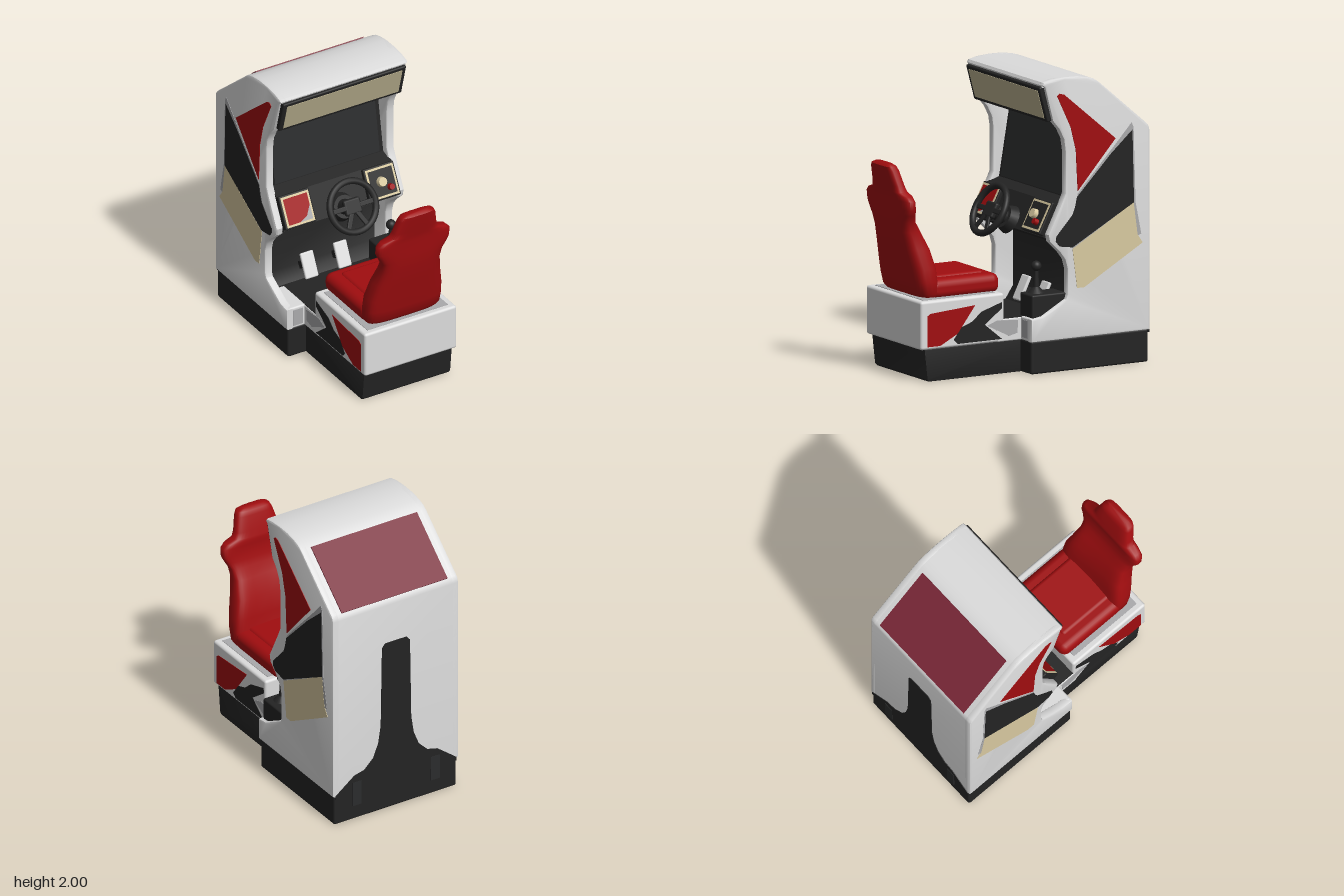
import * as THREE from 'three';
import { toCreasedNormals } from 'three/addons/utils/BufferGeometryUtils.js';
import { RoundedBoxGeometry } from 'three/addons/geometries/RoundedBoxGeometry.js';

const mat = (name, color) => {
  const m = new THREE.MeshStandardMaterial({ color });
  m.name = name;
  return m;
};

export function createModel() {
  const white = mat('shell white', 0xdcdcdc), black = mat('black', 0x242424);
  const glass = mat('screen grey', 0x2b2c2d), red = mat('red', 0xa00d0f);
  const cream = mat('cream', 0xd8c9a0), sign = mat('sign beige', 0xbcb290);
  const maroon = mat('maroon', 0x7a2838), grey = mat('grey', 0xaaaaac);
  const root = new THREE.Group();

  const add = (name, geo, m, x = 0, y = 0, z = 0, parent = root) => {
    const mesh = new THREE.Mesh(geo, m);
    mesh.name = name;
    mesh.position.set(x, y, z);
    parent.add(mesh);
    return mesh;
  };
  const group = (name, x, y, z, rx) => {
    const g = new THREE.Group();
    g.name = name;
    g.position.set(x, y, z);
    g.rotation.x = rx;
    root.add(g);
    return g;
  };
  const box = (w, h, d, r = 0) =>
    r ? new RoundedBoxGeometry(w, h, d, 3, r) : new THREE.BoxGeometry(w, h, d);
  // box given by its limits
  const span = (name, m, x0, x1, y0, y1, z0, z1, r = 0) =>
    add(name, box(x1 - x0, y1 - y0, z1 - z0, r), m, (x0 + x1) / 2, (y0 + y1) / 2, (z0 + z1) / 2);
  // side outline of [z, y] points, extruded from x0 to x1
  const profile = (name, m, pts, x0, x1, bevel = 0) => {
    const shape = new THREE.Shape(pts.map(([z, y]) => new THREE.Vector2(-z, y)));
    const geo = new THREE.ExtrudeGeometry(shape, {
      depth: x1 - x0 - 2 * bevel, bevelEnabled: bevel > 0, bevelThickness: bevel,
      bevelSize: bevel, bevelOffset: -bevel, bevelSegments: 2,
    });
    geo.translate(0, 0, bevel).rotateY(Math.PI / 2);
    return add(name, toCreasedNormals(geo, 0.6), m, x0, 0, 0);
  };
  const bothSides = (name, m, pts, x, t, bevel = 0) => {
    profile(name + 'Right', m, pts, x - t, x, bevel);
    profile(name + 'Left', m, pts, -x, -x + t, bevel);
  };

  // Plinth
  span('cabinetPlinth', black, -0.485, 0.485, 0, 0.225, -0.9, 0.01, 0.015);
  profile('seatPlinth', black, [[-0.1, 0], [0.72, 0], [0.735, 0.015], [0.758, 0.225], [-0.1, 0.225]],
    -0.345, 0.345, 0.01);

  // Cabinet shell
  const roof = [[-0.07, 1.96], [-0.08, 1.978], [-0.14, 1.992], [-0.24, 2], [-0.34, 1.998],
    [-0.42, 1.985], [-0.47, 1.97], [-0.51, 1.945], [-0.885, 1.625], [-0.9, 1.605], [-0.905, 1.58], [-0.905, 0.22]];
  bothSides('sidePanel', white, [...roof, [0.015, 0.22], [0.015, 0.375], [-0.07, 0.39], [-0.16, 0.44],
    [-0.25, 0.49], [-0.262, 0.52], [-0.262, 0.7], [-0.245, 0.76], [-0.2, 0.82], [-0.125, 0.89],
    [-0.115, 0.94], [-0.215, 1.14], [-0.247, 1.21], [-0.247, 1.5], [-0.235, 1.58], [-0.2, 1.65],
    [-0.15, 1.71], [-0.088, 1.945]], 0.5, 0.06, 0.014);
  profile('roofAndBack', white, [...roof, [-0.5, 0.22], [-0.5, 1.72], [-0.13, 1.93], [-0.075, 1.945]], -0.482, 0.482);
  profile('innerCabinet', black, [[0, 0.21], [0, 0.33], [-0.34, 0.33], [-0.4, 0.42], [-0.4, 0.86],
    [-0.16, 0.885], [-0.1, 0.92], [-0.2, 1.14], [-0.29, 1.17], [-0.37, 1.64], [-0.2, 1.7],
    [-0.14, 1.72], [-0.1, 1.94], [-0.7, 1.7], [-0.7, 0.21]], -0.45, 0.45);

  // Sloped roof panel
  const slope = group('roofPanelGroup', 0, 1.786, -0.699, 0);
  slope.rotation.x = -Math.atan2(0.32, 0.375) - 0;
  add('roofPanel', box(0.84, 0.008, 0.5), maroon, 0, 0.002, 0, slope);

  // Back cover, with two recesses in the plinth corners
  const half = [[0.48, 0.2], [0.48, 0.225], [0.33, 0.34], [0.25, 0.36], [0.18, 0.43], [0.14, 0.53],
    [0.12, 0.66], [0.11, 1.26], [0.085, 1.29]];
  const cover = new THREE.Shape([...half, ...half.map(([x, y]) => [-x, y]).reverse()]
    .map(([x, y]) => new THREE.Vector2(x, y)));
  add('backCover', new THREE.ExtrudeGeometry(cover, { depth: 0.006, bevelEnabled: false }), black, 0, 0, -0.91);
  for (const s of [-1, 1]) add('backRecess', box(0.07, 0.18, 0.005), glass, s * 0.31, 0.2, -0.91);

  // Side decals
  const decals = [
    ['greyBacking', grey, [[-0.76, 1.645], [-0.775, 1.61], [-0.79, 1.1], [-0.835, 0.88], [-0.8, 0.87],
      [-0.34, 0.56], [-0.3, 0.84], [-0.34, 1.2], [-0.645, 1.52]], 0.502],
    ['redDecal', red, [[-0.18, 1.88], [-0.2, 1.895], [-0.235, 1.885], [-0.634, 1.55], [-0.34, 1.22],
      [-0.325, 1.5], [-0.285, 1.66]], 0.504],
    ['blackDecal', black, [[-0.765, 1.595], [-0.777, 1.1], [-0.3, 0.84], [-0.2, 0.855], [-0.17, 0.89], [-0.175, 0.925],
      [-0.3, 1.06], [-0.32, 1.11], [-0.335, 1.18], [-0.6, 1.45]], 0.504],
    ['creamDecal', cream, [[-0.775, 1.1], [-0.805, 0.88], [-0.845, 0.82], [-0.39, 0.56], [-0.335, 0.56],
      [-0.3, 0.83]], 0.503],
    ['seatRedDecal', red, [[0.745, 0.45], [0.72, 0.465], [0.374, 0.49], [0.51, 0.31], [0.645, 0.24], [0.745, 0.24]], 0.363],
    ['seatBlackDecal', black, [[0.54, 0.27], [0.48, 0.35], [0.395, 0.38], [0.326, 0.44], [0.167, 0.49],
      [0.165, 0.45], [0.3, 0.35], [0.165, 0.24], [0.51, 0.24]], 0.363],
    ['seatGreyDecal', grey, [[0.2, 0.37], [0.04, 0.355], [0.045, 0.27], [0.11, 0.255], [0.28, 0.34]], 0.362],
  ];
  for (const [name, m, pts, x] of decals) bothSides(name, m, pts, x, 0.006);

  // Lit sign
  const marquee = group('marquee', 0, 1.83, -0.11, 0.264);
  add('signFrame', box(0.96, 0.25, 0.05, 0.01), black, 0, 0, 0, marquee);
  add('signPanel', box(0.9, 0.2, 0.006), sign, 0, 0, 0.025, marquee);

  // Screen
  const screen = group('screen', 0, 1.405, -0.327, -0.168);
  add('screenPanel', box(0.82, 0.46, 0.008), glass, 0, 0, 0, screen);

  // Control panel
  const dash = group('controlPanel', 0, 1.035, -0.145, -0.48);
  for (const s of [-1, 1]) {
    add('panelHousing', box(0.24, 0.235, 0.05, 0.01), black, s * 0.33, 0, 0, dash);
    add('panelBorder', box(0.215, 0.21, 0.006), cream, s * 0.33, 0, 0.026, dash);
    add('panelFace', box(0.185, 0.18, 0.006), s < 0 ? red : black, s * 0.33, 0, 0.029, dash);
  }
  const corner = new THREE.Shape([[0, 0], [0.1, 0], [0.1, 0.1], [0.06, 0.03]].map((p) => new THREE.Vector2(...p)));
  add('panelCorner', new THREE.ShapeGeometry(corner), grey, -0.337, -0.09, 0.033, dash);
  const knob = (name, m, r, x, y) =>
    add(name, new THREE.CylinderGeometry(r * 0.85, r, 0.035, 20).rotateX(Math.PI / 2), m, x, y, 0.045, dash);
  knob('creamKnob', cream, 0.036, 0.32, 0.005);
  knob('redButton', red, 0.023, 0.378, -0.045);

  // Steering wheel
  const wheel = group('steeringWheel', 0, 1.05, 0.045, -0.5);
  add('rim', new THREE.TorusGeometry(0.173, 0.023, 12, 40), black, 0, 0, 0, wheel);
  add('hub', box(0.13, 0.11, 0.04, 0.015), black, 0, 0, -0.01, wheel);
  for (const a of [0, Math.PI, -1.1, -2.04]) {
    const spoke = add('spoke', box(0.13, 0.035, 0.018, 0.006), black, Math.cos(a) * 0.11, Math.sin(a) * 0.11, 0, wheel);
    spoke.rotation.z = a;
  }
  add('column', new THREE.CylinderGeometry(0.045, 0.06, 0.2, 20).rotateX(Math.PI / 2), black, 0, 0, -0.11, wheel);
  add('columnCollar', new THREE.CylinderGeometry(0.08, 0.1, 0.06, 20).rotateX(Math.PI / 2), black, 0, 0, -0.15, wheel);

  // Pedals
  for (const x of [-0.14, 0.12]) {
    const pedal = group('pedal', x, 0.46, -0.29, -0.45);
    add('pedalPlate', box(0.1, 0.18, 0.025, 0.01), white, 0, 0, 0, pedal);
    add('pedalArm', box(0.035, 0.05, 0.14), black, 0, 0, -0.07, pedal);
  }

  // Footing blocks and shifter
  for (const s of [-1, 1]) {
    add('footing', box(0.13, 0.16, 0.28, 0.012), white, s * 0.415, 0.3, -0.125);
    add('footingPlate', box(0.07, 0.12, 0.006), grey, s * 0.41, 0.3, 0.015);
  }
  span('shifterBox', black, 0.31, 0.475, 0.375, 0.535, -0.265, -0.003, 0.012);
  add('shifterBoot', new THREE.CylinderGeometry(0.02, 0.06, 0.04, 20), black, 0.38, 0.553, -0.09);
  add('shifterRod', new THREE.CylinderGeometry(0.014, 0.02, 0.13, 12), black, 0.38, 0.63, -0.09);
  add('shifterKnob', new THREE.SphereGeometry(0.035, 20, 14), black, 0.38, 0.715, -0.09);

  // Seat platform
  span('seatPlatform', white, -0.36, 0.36, 0.22, 0.55, 0.145, 0.793, 0.018);
  span('platformLink', white, -0.36, 0.36, 0.22, 0.375, -0.02, 0.2, 0.01);
  span('footwellFloor', black, -0.355, 0.355, 0.372, 0.38, -0.01, 0.148);
  span('platformTop', grey, -0.315, 0.315, 0.546, 0.553, 0.19, 0.75);

  // Seat cushion
  span('cushion', red, -0.285, 0.285, 0.535, 0.672, 0.125, 0.66, 0.055);
  span('cushionPad', red, -0.2, 0.2, 0.58, 0.685, 0.2, 0.64, 0.03);

  // Backrest rows: height, half width, front z, rear z, depth of the hollow
  const rows = [[0.555, 0.27, 0.57, 0.725, 0], [0.58, 0.285, 0.565, 0.745, 0.01], [0.66, 0.288, 0.575, 0.765, 0.03],
    [0.75, 0.28, 0.58, 0.785, 0.04], [0.88, 0.25, 0.615, 0.815, 0.04], [1.0, 0.225, 0.68, 0.84, 0.03],
    [1.07, 0.232, 0.73, 0.85, 0.015], [1.12, 0.26, 0.748, 0.855, 0.01], [1.16, 0.28, 0.755, 0.858, 0.01],
    [1.22, 0.28, 0.762, 0.864, 0.01], [1.25, 0.25, 0.767, 0.867, 0], [1.27, 0.185, 0.772, 0.872, 0],
    [1.31, 0.165, 0.783, 0.88, 0], [1.41, 0.14, 0.812, 0.905, 0], [1.44, 0.125, 0.825, 0.91, 0], [1.455, 0.09, 0.845, 0.895, 0]];
  const n = 32, pos = [], idx = [];
  const bow = (v, p) => Math.sign(v) * Math.abs(v) ** p;
  for (const [y, w, zf, zb, dish] of rows) {
    for (let j = 0; j < n; j++) {
      const t = (j / n) * Math.PI * 2, c = bow(Math.cos(t), 0.5), s = bow(Math.sin(t), 0.6);
      pos.push(w * c, y, (zf + zb) / 2 + ((zb - zf) / 2) * s + (s < 0 ? dish * (1 - c * c) : 0));
    }
  }
  for (let i = 0; i < rows.length - 1; i++) {
    for (let j = 0; j < n; j++) {
      const a = i * n + j, b = i * n + (j + 1) % n;
      idx.push(a, a + n, b, b, a + n, b + n);
    }
  }
  const last = (rows.length - 1) * n;
  for (let j = 1; j < n - 1; j++) idx.push(0, j, j + 1, last, last + j + 1, last + j);
  const back = new THREE.BufferGeometry();
  back.setAttribute('position', new THREE.Float32BufferAttribute(pos, 3));
  back.setIndex(idx);
  add('backrest', toCreasedNormals(back, 0.9), red);

  return root;
}
